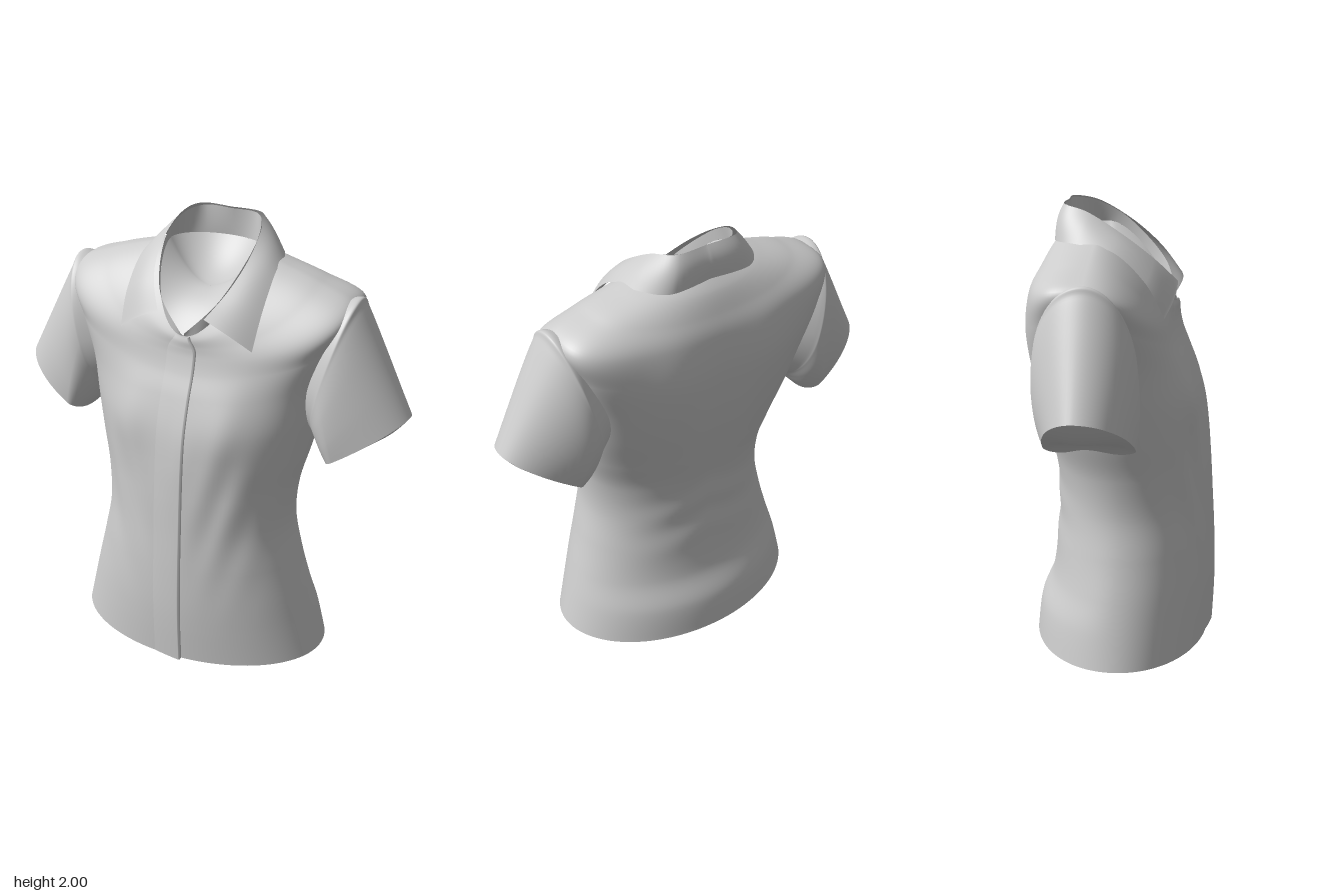
import * as THREE from 'three';
import { ParametricGeometry } from 'three/addons/geometries/ParametricGeometry.js';

const V = (x, y, z) => new THREE.Vector3(x, y, z);
const material = new THREE.MeshStandardMaterial({ color: 0xcccccc, roughness: 0.9, side: THREE.DoubleSide });

// Smooth interpolation through rows of numbers, t in 0..1
function sample(rows, t) {
  const f = Math.min(Math.max(t, 0), 1) * (rows.length - 1);
  const i = Math.min(Math.floor(f), rows.length - 2);
  const k = f - i;
  const row = j => rows[Math.min(Math.max(j, 0), rows.length - 1)];
  return rows[0].map((_, n) => {
    const [a, b, c, d] = [row(i - 1)[n], row(i)[n], row(i + 1)[n], row(i + 2)[n]];
    return b + 0.5 * k * (c - a + k * (2 * a - 5 * b + 4 * c - d + k * (3 * (b - c) + d - a)));
  });
}

function surface(name, fn, nu, nv) {
  const geometry = new ParametricGeometry((u, v, out) => out.copy(fn(u, v)), nu, nv);
  const mesh = new THREE.Mesh(geometry, material);
  mesh.name = name;
  return mesh;
}

// Closes an opening with a smooth shallow dish from its rim to a centre point
const cap = (name, rim, centre) => surface(name, (u, v) => {
  const p = rim(u);
  const y = p.y + (centre.y - p.y) * (1 - (1 - v) ** 2);
  return p.lerp(centre, v).setY(y);
}, 72, 16);

const bump = (x, y, cx, cy, rx, ry) => Math.exp(-(((x - cx) / rx) ** 2) - ((y - cy) / ry) ** 2);

// Torso rings: half width, side y, side z, front y, front z, back y, back z, depth power
const RINGS = [
  [0.605, 0.015, 0.00, 0.005, 0.385, 0.015, -0.41, 1],
  [0.567, 0.17, 0.00, 0.17, 0.393, 0.17, -0.39, 1],
  [0.53, 0.31, 0.01, 0.31, 0.395, 0.31, -0.335, 1],
  [0.485, 0.48, 0.02, 0.48, 0.39, 0.48, -0.315, 1],
  [0.45, 0.66, 0.02, 0.66, 0.38, 0.66, -0.305, 1],
  [0.46, 0.84, 0.01, 0.84, 0.37, 0.84, -0.315, 1],
  [0.495, 1.00, -0.02, 1.00, 0.355, 1.00, -0.35, 0.95],
  [0.53, 1.17, -0.06, 1.15, 0.33, 1.17, -0.385, 0.85],
  [0.565, 1.37, -0.09, 1.30, 0.285, 1.33, -0.405, 0.73],
  [0.63, 1.57, -0.10, 1.40, 0.245, 1.49, -0.412, 0.67],
  [0.665, 1.715, -0.10, 1.47, 0.225, 1.64, -0.393, 0.67],
  [0.50, 1.792, -0.10, 1.51, 0.22, 1.73, -0.36, 0.75],
  [0.35, 1.838, -0.10, 1.54, 0.22, 1.81, -0.32, 0.87],
  [0.22, 1.875, -0.10, 1.56, 0.215, 1.865, -0.268, 1],
];

// Angle 0 is the front centre, PI / 2 the wearer's left side
function torsoPoint(a, v) {
  const [w, yS, zS, yF, zF, yB, zB, q] = sample(RINGS, v);
  const s = Math.sin(a), c = Math.cos(a), m = Math.abs(c);
  const x = w * s;
  const y = yS + ((c > 0 ? yF : yB) - yS) * m ** (q + 0.6);
  const depth = c > 0 ? zF - zS : zB - zS;
  let z = zS + depth * m ** (c > 0 ? q : 1.6 * q - 0.6);
  const ax = Math.abs(x);
  if (c > 0) {
    // Bust fullness and soft drape running to the waist
    z += m * 0.03 * bump(ax, y, 0.25, 1.17, 0.13, 0.17);
    z += m * 0.006 * Math.sin(38 * (ax - 0.3 * y)) * bump(ax, y, 0.27, 0.8, 0.14, 0.3);
  } else {
    // Shoulder blades, spine hollow and folds in the small of the back
    z -= m * 0.015 * bump(ax, y, 0.25, 1.45, 0.13, 0.25);
    z += m * 0.012 * bump(ax, y, 0, 1.0, 0.09, 0.4);
    z += m * 0.004 * Math.sin(32 * y + 9 * ax) * bump(ax, y, 0, 0.65, 0.35, 0.18);
  }
  return V(x, y, z);
}

// Sleeve rings: top x, y, bottom x, y, front z, back z, height share of the widest level
const SLEEVE = [
  [0.58, 1.71, 0.44, 1.16, 0.07, -0.27, 0.43],
  [0.675, 1.742, 0.50, 1.11, 0.11, -0.315, 0.43],
  [0.70, 1.705, 0.515, 1.10, 0.12, -0.325, 0.42],
  [0.76, 1.588, 0.535, 1.075, 0.13, -0.325, 0.37],
  [0.845, 1.42, 0.56, 1.04, 0.13, -0.305, 0.3],
  [0.937, 1.24, 0.59, 1.005, 0.12, -0.27, 0.22],
];

function sleevePoint(side, u, v) {
  const [tx, ty, bx, by, zF, zB, mid] = sample(SLEEVE, v);
  const a = side * u * Math.PI * 2;
  const s = Math.sin(a), c = Math.cos(a);
  const h = mid + (c > 0 ? 1 - mid : mid) * c;
  const zMid = -0.1;
  const z = zMid + (side * s > 0 ? zF - zMid : zMid - zB) * side * s;
  const lift = c < 0 ? 0.025 * v * c ** 8 : 0;
  return V(side * (bx + (tx - bx) * h), by + (ty - by) * h + lift, z);
}

// Half collar lines, from the back centre to the front
const STAND_TOP = [[0, 1.995, -0.25], [0.13, 1.993, -0.245], [0.195, 1.965, -0.14],
  [0.205, 1.88, 0], [0.14, 1.72, 0.16], [0.01, 1.577, 0.225]];
const FOLD = [[0, 2, -0.255], [0.15, 1.998, -0.25], [0.2, 1.97, -0.14],
  [0.212, 1.88, 0.01], [0.18, 1.775, 0.14], [0.11, 1.665, 0.24]];
const EDGE = [[0, 1.855, -0.285], [0.2, 1.848, -0.285], [0.295, 1.848, -0.18],
  [0.32, 1.82, -0.02], [0.325, 1.69, 0.12], [0.317, 1.54, 0.2]];

function standPoint(u, v) {
  const t = 2 * u - 1, d = Math.abs(t);
  const top = V(...sample(STAND_TOP, d));
  const p = torsoPoint(Math.PI * (1 - d), 1).lerp(top, v);
  p.x *= -Math.sign(t);
  return p;
}

function leafPoint(u, v) {
  const t = 2 * u - 1, d = Math.abs(t);
  const p = V(...sample(EDGE, d)).lerp(V(...sample(FOLD, d)), v);
  const puff = Math.sin(Math.PI * v) * 0.014;
  p.x = -Math.sign(t) * (p.x + puff * 0.5 * d);
  p.y += puff * 0.6;
  p.z += puff * (2 * d - 1);
  return p;
}

// Overlapping front edge: across position and lift off the torso
const PLACKET = [[-0.09, -0.002], [-0.02, 0.008], [0.058, 0.02], [0.064, 0.016], [0.064, -0.01]];

function placketPoint(u, v) {
  const f = u * (PLACKET.length - 1);
  const i = Math.min(Math.floor(f), PLACKET.length - 2);
  const [x, lift] = [0, 1].map(n => THREE.MathUtils.lerp(PLACKET[i][n], PLACKET[i + 1][n], f - i));
  const t = 0.99 * v;
  const narrow = 1 - 0.5 * THREE.MathUtils.smoothstep(v, 0.8, 1);
  const p = torsoPoint(Math.asin(x * narrow / sample(RINGS, t)[0]), t);
  p.z += lift;
  return p;
}

export function createModel() {
  const shirt = new THREE.Group();
  shirt.name = 'shirt';
  const turn = Math.PI * 2;
  shirt.add(surface('torso', (u, v) => torsoPoint(u * turn, v), 144, 140));
  shirt.add(surface('frontPlacket', placketPoint, 8, 110));
  shirt.add(cap('hemLining', u => torsoPoint(-u * turn, 0), V(0, 0.03, 0)));
  shirt.add(cap('neckLining', u => torsoPoint(u * turn, 1), V(0, 1.71, -0.03)));
  for (const [name, side] of [['left', 1], ['right', -1]]) {
    shirt.add(surface(name + 'Sleeve', (u, v) => sleevePoint(side, u, v), 72, 36));
    shirt.add(cap(name + 'CuffLining', u => sleevePoint(side, u, 1), V(side * 0.735, 1.1, -0.09)));
  }
  shirt.add(surface('collarStand', standPoint, 80, 8));
  shirt.add(surface('collarLeaf', leafPoint, 80, 12));
  return shirt;
}
